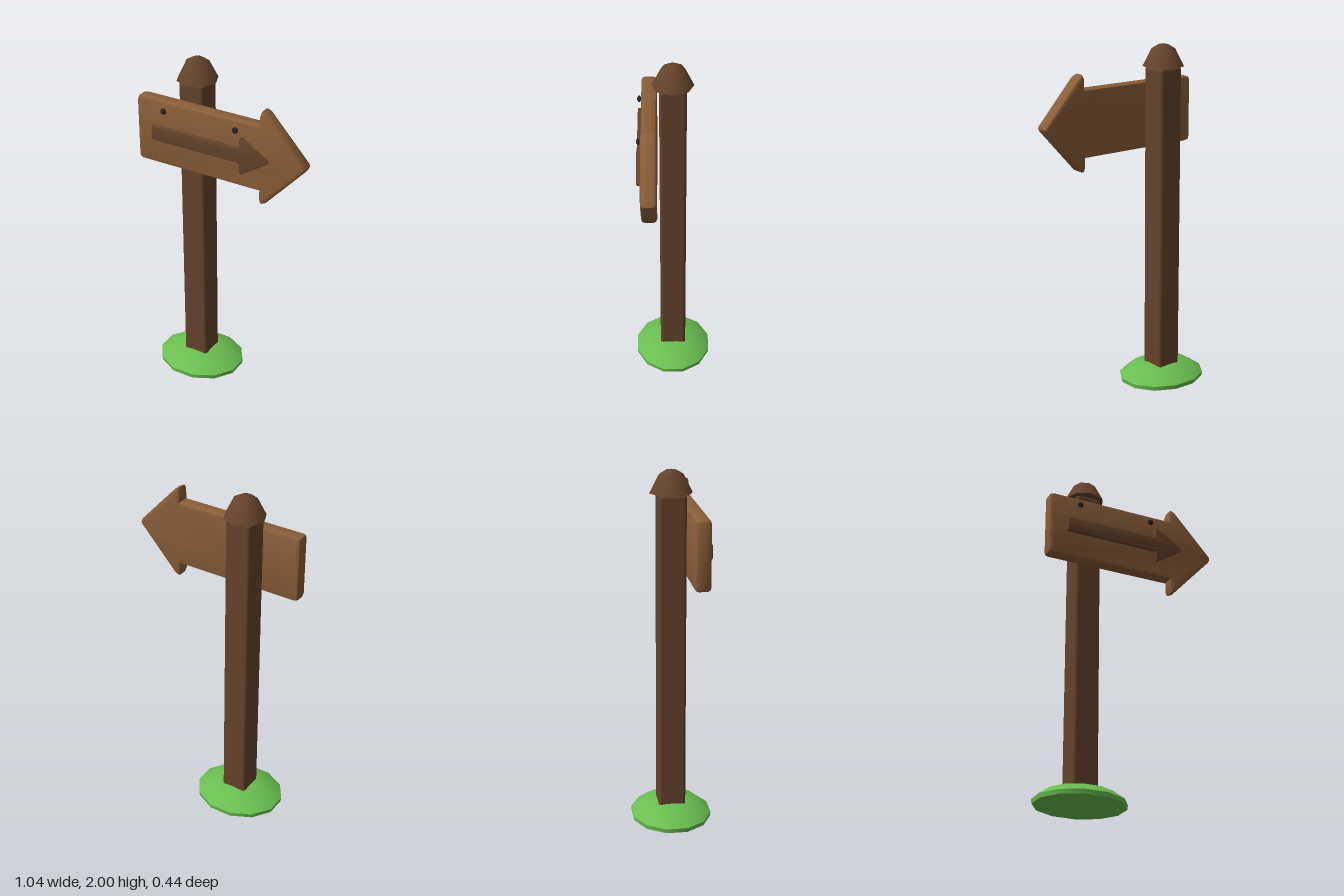
import * as THREE from 'three';
import { toCreasedNormals } from 'three/addons/utils/BufferGeometryUtils.js';
import { RoundedBoxGeometry } from 'three/addons/geometries/RoundedBoxGeometry.js';

const POST_X = -0.235, ARROW_Y = 1.585;

const paint = (color) => new THREE.MeshStandardMaterial({ color });

function add(group, name, geometry, material, x = 0, y = 0, z = 0) {
  const mesh = new THREE.Mesh(geometry, material);
  mesh.name = name;
  mesh.position.set(x, y, z);
  group.add(mesh);
  return mesh;
}

// Turned solid with smooth sides and a crisp rim
function turned(profile, sides, phi = 0) {
  const pts = profile.map(([r, y]) => new THREE.Vector2(r, y));
  return toCreasedNormals(new THREE.LatheGeometry(pts, sides, phi), 0.9);
}

// Bevelled arrow plate pointing to +x, from z0 to z1; the bevel grows outward
function arrowPlate({ back, neck, tip, shaft, wing, bevel, round, z0, z1 }) {
  const pts = [
    [back, -shaft], [neck, -shaft], [neck, -wing], [tip, 0],
    [neck, wing], [neck, shaft], [back, shaft],
  ].map(([x, y]) => new THREE.Vector2(x, y));
  const shape = new THREE.Shape();
  pts.forEach((p, i) => {
    const prev = pts[(i + pts.length - 1) % pts.length], next = pts[(i + 1) % pts.length];
    const isNotch = i === 1 || i === 5;
    const a = p.clone().add(prev.clone().sub(p).setLength(round));
    const b = p.clone().add(next.clone().sub(p).setLength(round));
    const start = isNotch ? p : a;
    if (i === 0) shape.moveTo(start.x, start.y);
    else shape.lineTo(start.x, start.y);
    if (!isNotch) shape.quadraticCurveTo(p.x, p.y, b.x, b.y);
  });
  const geo = new THREE.ExtrudeGeometry(shape, {
    depth: z1 - z0 - 2 * bevel, bevelEnabled: true, bevelSize: bevel,
    bevelThickness: bevel, bevelSegments: 2, curveSegments: 2,
  });
  geo.translate(0, 0, z0 + bevel);
  return toCreasedNormals(geo, 0.6);
}

export function createModel() {
  const model = new THREE.Group();
  model.name = 'arrowSignpost';
  const darkWood = paint(0x65432b), board = paint(0x8b5e38);
  const grass = paint(0x6abf50), iron = paint(0x2e241e);

  // Oval grass mound
  const moundGeo = turned([[0, 0], [0.985, 0], [1, 0.025], [0.74, 0.073], [0.32, 0.094], [0, 0.096]], 12, Math.PI / 12);
  const mound = add(model, 'grassMound', moundGeo, grass, POST_X);
  mound.scale.set(0.264, 1, 0.229);

  // Square post and its eight-sided cap
  add(model, 'post', new RoundedBoxGeometry(0.152, 1.86, 0.152, 2, 0.018), darkWood, POST_X, 0.94, 0);
  add(model, 'postCap', turned([[0, 0], [0.117, 0], [0.067, 0.1], [0.03, 0.122], [0, 0.128]], 8), darkWood, POST_X, 1.872, 0);

  // Arrow-shaped board with a smaller raised arrow on its face
  add(model, 'signBoard', arrowPlate({
    back: -0.5, neck: 0.265, tip: 0.497, shaft: 0.173, wing: 0.252,
    bevel: 0.02, round: 0.008, z0: 0.088, z1: 0.175,
  }), board, 0, ARROW_Y, 0);
  add(model, 'raisedArrow', arrowPlate({
    back: -0.409, neck: 0.145, tip: 0.305, shaft: 0.037, wing: 0.103,
    bevel: 0.006, round: 0.004, z0: 0.168, z1: 0.197,
  }), darkWood, 0, ARROW_Y, 0);

  // Nail heads
  for (const x of [-0.338, 0.11]) {
    const nail = add(model, 'nail', new THREE.SphereGeometry(0.018, 8, 6), iron, x, 1.728, 0.187);
    nail.scale.z = 0.65;
  }
  return model;
}
